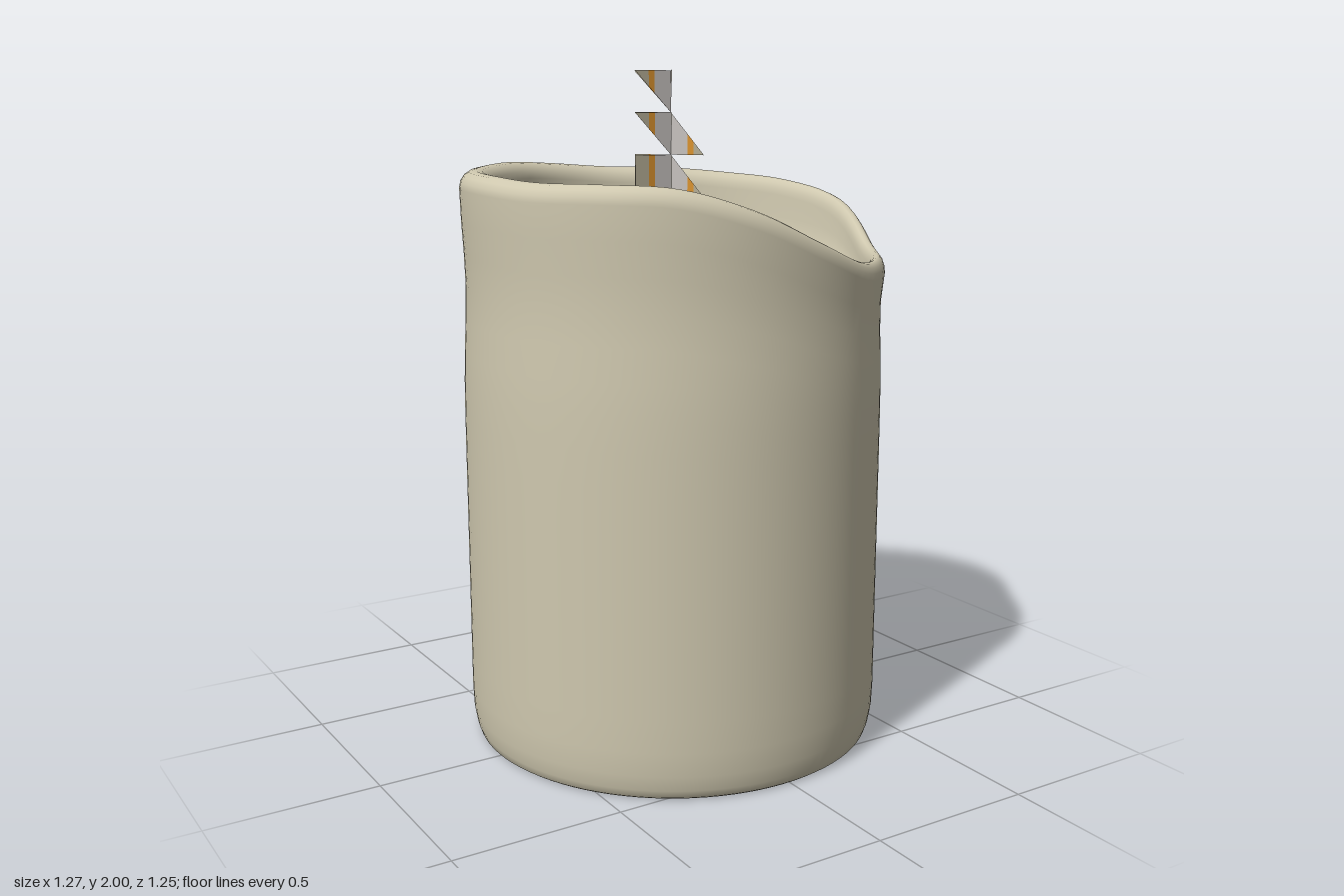
import * as THREE from 'three';

const CX = -0.02, N = 96, FLOOR = 1.345;
const mat = (name, color, side = THREE.FrontSide) => {
  const m = new THREE.MeshStandardMaterial({ color, side });
  m.name = name;
  return m;
};

// Rim height every 20 degrees, starting at +x and turning towards +z
const RIM = [1.61, 1.49, 1.465, 1.47, 1.54, 1.63, 1.69, 1.70, 1.70,
  1.71, 1.715, 1.72, 1.725, 1.715, 1.70, 1.695, 1.68, 1.66];

function rimHeight(a) {
  const u = (a / (Math.PI * 2)) * RIM.length, i = Math.floor(u), t = u - i;
  const k = (n) => RIM[(i + n + RIM.length) % RIM.length];
  return k(0) + 0.5 * t * (k(1) - k(-1) + t * (2 * k(-1) - 5 * k(0) + 4 * k(1) - k(2)
    + t * (3 * (k(0) - k(1)) + k(2) - k(-1))));
}

// Outer radius: a slight waist at 1.3 and a bulge under the low lip
function outerRadius(a, y) {
  let d = a - 0.4;
  if (d > Math.PI) d -= Math.PI * 2;
  const bulge = 0.035 * Math.exp(-((d / 0.65) ** 2)) * Math.exp(-(((y - 1.55) / 0.16) ** 2));
  const waist = 0.012 * Math.exp(-(((y - 1.38) / 0.18) ** 2));
  return 0.627 + bulge - waist;
}

// Profile of the wax at one angle: up the side, over the rim, down to the pool
function waxProfile(a) {
  const h = rimHeight(a), p = [];
  for (const [r, y] of [[0.598, 0.005], [0.608, 0.012], [0.616, 0.035], [0.624, 0.08], [0.627, 0.15]]) p.push([r, y]);
  const half = 0.025 + 0.025 * (1 - Math.cos(a - 0.7)) / 2;
  const start = h - 0.05;
  for (let i = 1; i <= 16; i++) {
    const y = 0.15 + (start - 0.15) * i / 16;
    p.push([outerRadius(a, y), y]);
  }
  const mid = outerRadius(a, start) - half;
  for (let i = 1; i <= 8; i++) {
    const t = (i / 8) * Math.PI;
    p.push([mid + half * Math.cos(t), start + 0.05 * Math.sin(t)]);
  }
  const inner = mid - half, drop = start - FLOOR;
  for (const [dr, f] of [[0.004, 0.75], [0.012, 0.5], [0.035, 0.27], [0.075, 0.12], [0.14, 0.05], [0.25, 0.02]]) {
    p.push([inner - dr, FLOOR + drop * f]);
  }
  p.push([0.15, FLOOR], [0.001, FLOOR]);
  return p;
}

function waxGeometry() {
  const pos = [], index = [];
  let rows = 0;
  for (let j = 0; j < N; j++) {
    const a = (j / N) * Math.PI * 2, profile = waxProfile(a);
    rows = profile.length;
    for (const [r, y] of profile) pos.push(CX + r * Math.cos(a), y, r * Math.sin(a));
  }
  for (let j = 0; j < N; j++) {
    for (let i = 0; i < rows - 1; i++) {
      const p = j * rows + i, q = ((j + 1) % N) * rows + i;
      index.push(p, p + 1, q, p + 1, q + 1, q);
    }
  }
  const g = new THREE.BufferGeometry();
  g.setAttribute('position', new THREE.Float32BufferAttribute(pos, 3));
  g.setIndex(index);
  g.computeVertexNormals();
  return g;
}

// Flat upright strip between radii r0 and r1; lo and hi give its edges
function strip(r0, r1, lo, hi) {
  const s = new THREE.Shape();
  s.moveTo(r0, lo(r0));
  s.lineTo(r1, lo(r1));
  s.lineTo(r1, hi(r1));
  s.lineTo(r0, hi(r0));
  return new THREE.ShapeGeometry(s);
}

export function createModel() {
  const model = new THREE.Group();
  const wax = mat('wax', 0xcfc8af);
  const char = mat('charred wick', 0x2f2e30);
  const smoke = mat('pale grey flame', 0xc6c2be, THREE.DoubleSide);
  const amber = mat('amber flame', 0xd9922e, THREE.DoubleSide);
  const haze = mat('beige flame', 0xb5ae96, THREE.DoubleSide);
  const add = (parent, name, geometry, material) => {
    const m = new THREE.Mesh(geometry, material);
    m.name = name;
    parent.add(m);
    return m;
  };

  // Wax body and flat underside
  add(model, 'waxBody', waxGeometry(), wax);
  const base = add(model, 'underside', new THREE.CircleGeometry(0.598, N), wax);
  base.rotation.x = Math.PI / 2;
  base.position.set(CX, 0.005, 0);

  // Wick with a rounded tip
  const wickProfile = [[0.037, 0], [0.037, 0.16], [0.035, 0.185], [0.024, 0.205], [0, 0.212]];
  const wick = add(model, 'wick',
    new THREE.LatheGeometry(wickProfile.map(([r, y]) => new THREE.Vector2(r, y)), 12), char);
  wick.position.set(CX, 1.335, -0.01);

  // Flame: six upright fins, three toothed upwards and three downwards
  const flame = new THREE.Group();
  flame.name = 'flame';
  flame.position.set(CX, 0, -0.01);
  model.add(flame);
  const levels = [2.0, 1.88, 1.757, 1.635, 1.515];
  const patterns = { up: ['up', 'up', 'full', null], down: [null, 'down', 'down', 'down'] };
  for (let k = 0; k < 6; k++) {
    const kind = k >= 2 && k <= 4 ? 'up' : 'down';
    const reach = kind === 'up' ? 0.122 : 0.11;
    const fin = new THREE.Group();
    fin.name = 'flameFin';
    fin.rotation.y = k * Math.PI / 3;
    flame.add(fin);
    patterns[kind].forEach((shape, row) => {
      if (!shape) return;
      const top = levels[row], bottom = levels[row + 1], h = top - bottom;
      const lo = (r) => (shape === 'up' ? bottom + h * r / reach : bottom);
      const hi = (r) => (shape === 'down' ? top - h * r / reach : top);
      const bands = row === 3
        ? [[0, 0.085, amber], [0.085, reach, haze]]
        : [[0, 0.055, smoke], [0.055, 0.075, amber], [0.075, reach, haze]];
      for (const [r0, r1, m] of bands) add(fin, 'flameFacet', strip(r0, r1, lo, hi), m);
    });
  }
  return model;
}
